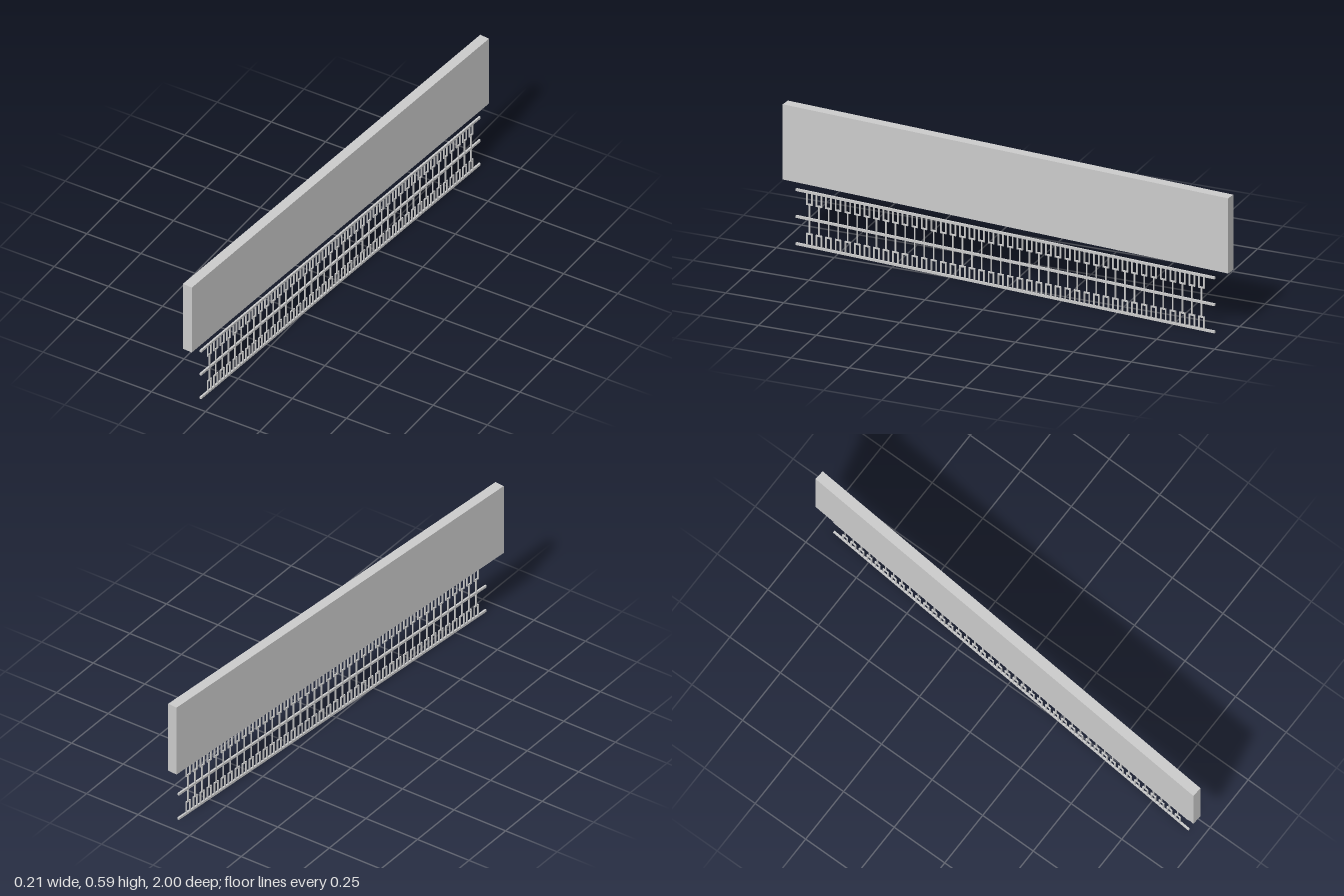
import * as THREE from 'three';

const material = new THREE.MeshStandardMaterial({ color: 0xcccccc, flatShading: true });

function box(parent, name, w, h, l, x, y, z) {
  const mesh = new THREE.Mesh(new THREE.BoxGeometry(w, h, l), material);
  mesh.name = name;
  mesh.position.set(x, y, z);
  parent.add(mesh);
  return mesh;
}

export function createModel() {
  const group = new THREE.Group();
  group.name = 'railingWithPanel';

  // Everything runs along one slightly turned line
  const line = new THREE.Group();
  line.name = 'turnedRun';
  line.rotation.y = -0.085;
  group.add(line);

  // Tall solid panel above the railing
  box(line, 'panel', 0.043, 0.323, 2.0035, 0, 0.4305, 0);

  // Three horizontal rails
  const railX = 0.0205;
  for (const [name, y] of [['bottomRail', 0.0055], ['middleRail', 0.1225], ['topRail', 0.2375]]) {
    box(line, name, 0.008, 0.01, 1.883, railX, y, 0);
  }

  // Balusters: a thin bar between an arch at the foot and a mirrored one at the head
  const count = 42, pitch = 0.043, width = 0.028, bar = 0.006, depth = 0.005;
  for (let i = 0; i < count; i++) {
    const baluster = new THREE.Group();
    baluster.name = 'baluster';
    baluster.position.set(railX, 0, (i - (count - 1) / 2) * pitch);
    line.add(baluster);
    box(baluster, 'thinBar', depth, 0.126, 0.005, 0, 0.1215, 0);
    for (const [name, end, tip] of [['footArch', 0.008, 0.061], ['headArch', 0.235, 0.182]]) {
      const inward = Math.sign(tip - end);
      for (const side of [-1, 1]) {
        box(baluster, name + 'Leg', depth, Math.abs(tip - end), bar, 0, (tip + end) / 2, side * (width - bar) / 2);
      }
      box(baluster, name + 'Bridge', depth, bar, width - 2 * bar, 0, tip - inward * bar / 2, 0);
    }
  }
  return group;
}
